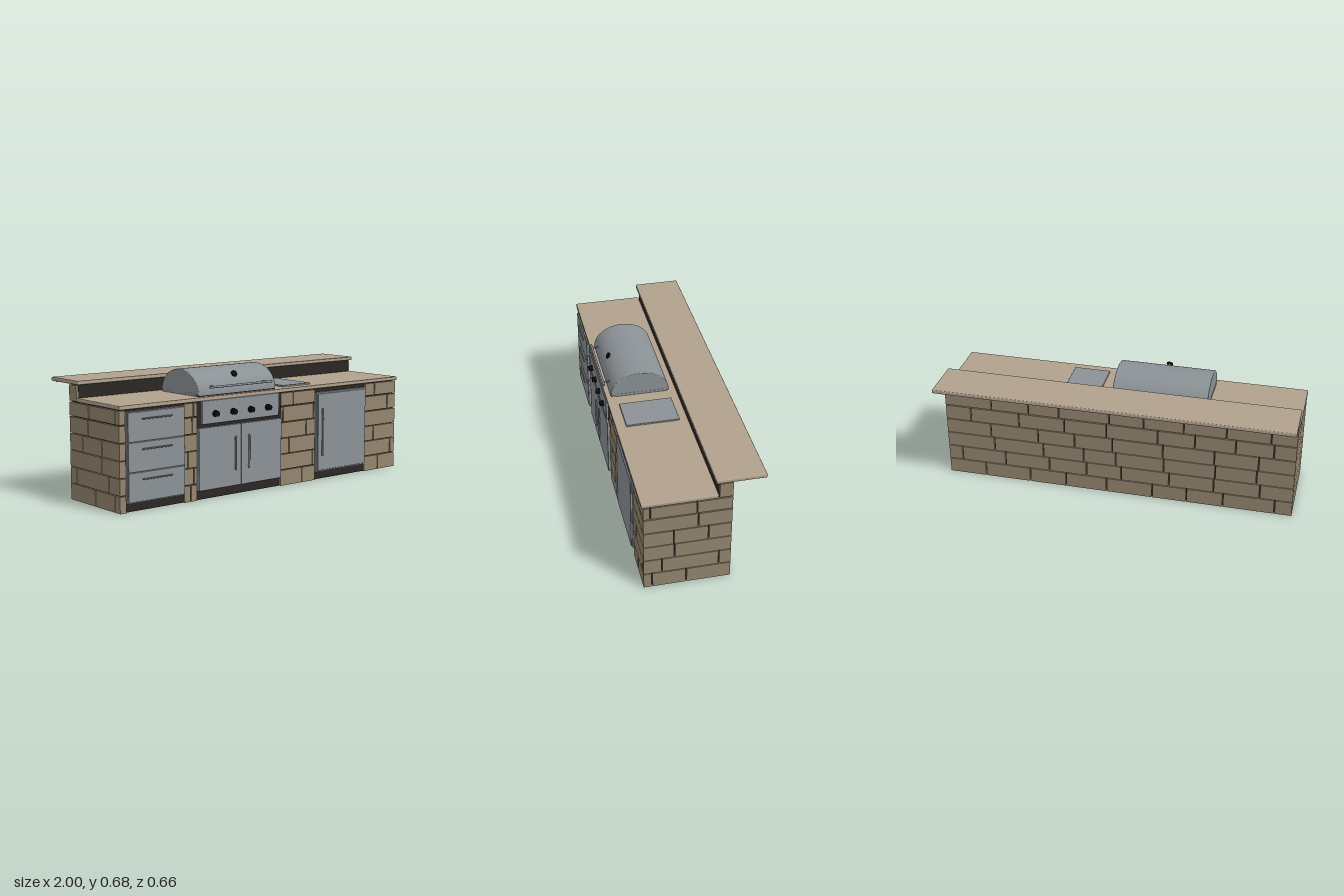
import * as THREE from 'three';
import { RoundedBoxGeometry } from 'three/addons/geometries/RoundedBoxGeometry.js';

const mat = (color) => new THREE.MeshStandardMaterial({ color });
const STONE = mat(0x94866f), SLAB = mat(0xb2a28e), STEEL = mat(0x8b9296), DARK = mat(0x2a2725), BLACK = mat(0x0c0c0c);

export function createModel() {
  const model = new THREE.Group();

  const add = (name, geometry, material, parent = model) => {
    const mesh = new THREE.Mesh(geometry, material);
    mesh.name = name;
    parent.add(mesh);
    return mesh;
  };
  const group = (name) => {
    const g = new THREE.Group();
    g.name = name;
    model.add(g);
    return g;
  };
  // Box given by its limits on each axis; r rounds the edges
  const box = (name, x0, x1, y0, y1, z0, z1, material, parent, r = 0) => {
    const s = [x1 - x0, y1 - y0, z1 - z0];
    const geo = r ? new RoundedBoxGeometry(...s, 3, r) : new THREE.BoxGeometry(...s);
    const mesh = add(name, geo, material, parent);
    mesh.position.set((x0 + x1) / 2, (y0 + y1) / 2, (z0 + z1) / 2);
    return mesh;
  };
  // Round bar between two points
  const rod = (name, a, b, radius, material, parent) => {
    const p = new THREE.Vector3(...a), q = new THREE.Vector3(...b);
    const mesh = add(name, new THREE.CylinderGeometry(radius, radius, p.distanceTo(q), 16), material, parent);
    mesh.position.copy(p).lerp(q, 0.5);
    mesh.quaternion.setFromUnitVectors(new THREE.Vector3(0, 1, 0), q.sub(p).normalize());
    return mesh;
  };
  // Bar handle with two standoffs, along x or y
  const handle = (name, from, to, back, radius, parent) => {
    rod(name + 'Bar', from, to, radius, STEEL, parent);
    for (const t of [0.08, 0.92]) {
      const p = from.map((v, i) => v + (to[i] - v) * t);
      rod(name + 'Standoff', [p[0], p[1], back], p, radius * 0.8, STEEL, parent);
    }
  };

  // Mortar core and riser
  box('mortarCore', -0.985, 0.985, 0, 0.526, -0.148, 0.285, DARK);
  box('riserCore', -0.985, 0.985, 0.52, 0.616, -0.148, -0.09, DARK);

  // Stone cladding in courses
  const rows = [[0, 0.086], [0.091, 0.176], [0.18, 0.265], [0.269, 0.354], [0.359, 0.443], [0.449, 0.52], [0.527, 0.611]];
  const gap = 0.003;
  const course = (a, b, joints, place) => {
    const cuts = [a, ...joints.filter((j) => j > a + 0.01 && j < b - 0.01).sort((p, q) => p - q), b];
    for (let i = 0; i < cuts.length - 1; i++) {
      place(cuts[i] + (i ? gap : 0), cuts[i + 1] - (i < cuts.length - 2 ? gap : 0));
    }
  };

  // Side walls, one joint list per course
  const sides = group('sideStones');
  const sideJoints = [[0.252, 0.073], [0.2, -0.097], [0.135], [0.14, -0.04], [0.014], [0.26, 0.022], []];
  rows.forEach(([y0, y1], r) => {
    for (const s of [-1, 1]) {
      course(-0.16, r === 6 ? -0.091 : 0.296, sideJoints[r], (a, b) =>
        box('sideStone', Math.min(s * 0.98, s * 0.997), Math.max(s * 0.98, s * 0.997), y0, y1, a, b, STONE, sides));
    }
  });

  // Front piers between the appliances
  const front = group('frontStones');
  const piers = [[-0.98, -0.96], [-0.592, -0.51], [0.078, 0.338], [0.743, 0.98]];
  const frontJoints = [[-0.55, 0.24, 0.855], [-0.53, 0.32, 0.96], [-0.57, 0.14, 0.815],
    [0.27], [-0.54, 0.095, 0.325, 0.93], [-0.53, 0.17, 0.82]];
  frontJoints.forEach((joints, r) => {
    for (const [a, b] of piers) {
      course(a, b, joints, (p, q) => box('frontStone', p, q, ...rows[r], 0.28, 0.296, STONE, front));
    }
  });

  // Back wall with irregular stone lengths
  const back = group('backStones');
  let seed = 7;
  const rand = () => (seed = (seed * 16807) % 2147483647) / 2147483647;
  rows.forEach(([y0, y1]) => {
    const joints = [];
    for (let x = -0.98 + 0.08 + 0.16 * rand(); x < 0.92; x += 0.17 + 0.13 * rand()) joints.push(x);
    course(-0.98, 0.98, joints, (a, b) => box('backStone', a, b, y0, y1, -0.16, -0.146, STONE, back));
  });

  // Worktop and raised bar top
  box('worktop', -1, 1, 0.525, 0.546, -0.087, 0.306, SLAB, model, 0.005);
  box('barTop', -1, 1, 0.615, 0.636, -0.331, -0.072, SLAB, model, 0.005);
  box('barDripEdge', -0.985, 0.985, 0.61, 0.616, -0.316, -0.306, SLAB);

  // Drawer stack
  const drawers = group('drawers');
  box('drawerFrame', -0.955, -0.595, 0.045, 0.512, 0.283, 0.302, STEEL, drawers);
  for (let i = 0; i < 3; i++) {
    const y = 0.05 + i * 0.154;
    box('drawerFront', -0.952, -0.598, y, y + 0.151, 0.3, 0.309, STEEL, drawers, 0.003);
    handle('drawerHandle', [-0.87, y + 0.115, 0.317], [-0.685, y + 0.115, 0.317], 0.305, 0.004, drawers);
  }

  // Grill cabinet doors
  const cabinet = group('grillCabinet');
  for (const [x0, x1, hx] of [[-0.505, -0.219, -0.262], [-0.216, 0.072, -0.168]]) {
    box('cabinetDoor', x0, x1, 0.05, 0.385, 0.283, 0.309, STEEL, cabinet, 0.003);
    handle('cabinetHandle', [hx, 0.137, 0.317], [hx, 0.32, 0.317], 0.305, 0.005, cabinet);
  }
  box('grillSurround', -0.512, 0.075, 0.385, 0.524, 0.28, 0.297, DARK, cabinet);

  // Control panel with knobs
  const grill = group('grill');
  box('controlPanel', -0.485, 0.052, 0.402, 0.527, 0.283, 0.31, STEEL, grill, 0.004);
  for (let i = 0; i < 4; i++) {
    const x = -0.398 + i * 0.122;
    rod('knob', [x, 0.455, 0.312], [x, 0.455, 0.332], 0.015, BLACK, grill);
    rod('knobBase', [x, 0.455, 0.308], [x, 0.455, 0.315], 0.018, BLACK, grill);
  }

  // Grill base and half-elliptical lid
  box('grillTray', -0.478, 0.045, 0.54, 0.557, -0.044, 0.278, DARK, grill);
  box('grillRim', -0.485, 0.052, 0.546, 0.56, -0.033, 0.254, STEEL, grill);
  const lidShape = new THREE.Shape();
  lidShape.absellipse(0, 0, 0.159, 0.121, 0, Math.PI, false);
  lidShape.closePath();
  const lid = add('lid', new THREE.ExtrudeGeometry(lidShape, {
    depth: 0.525, curveSegments: 48, bevelThickness: 0.005, bevelSize: 0.004, bevelSegments: 3,
  }), STEEL, grill);
  lid.rotation.y = Math.PI / 2;
  lid.position.set(-0.479, 0.555, 0.117);
  handle('lidHandle', [-0.43, 0.594, 0.307], [0, 0.594, 0.307], 0.262, 0.006, grill);

  // Temperature gauge, tilted with the lid
  rod('gaugeStem', [-0.215, 0.632, 0.215], [-0.215, 0.647, 0.244], 0.006, STEEL, grill);
  rod('gauge', [-0.215, 0.6455, 0.243], [-0.215, 0.649, 0.2485], 0.018, BLACK, grill);

  // Side burner cover
  box('burnerCover', 0.135, 0.342, 0.543, 0.555, -0.04, 0.25, STEEL, model, 0.003);

  // Refrigerator
  const fridge = group('refrigerator');
  box('fridgeFrame', 0.345, 0.74, 0.045, 0.502, 0.283, 0.301, STEEL, fridge);
  box('fridgeDoor', 0.352, 0.733, 0.052, 0.494, 0.298, 0.309, STEEL, fridge, 0.003);
  handle('fridgeHandle', [0.38, 0.137, 0.317], [0.38, 0.41, 0.317], 0.305, 0.005, fridge);

  return model;
}
